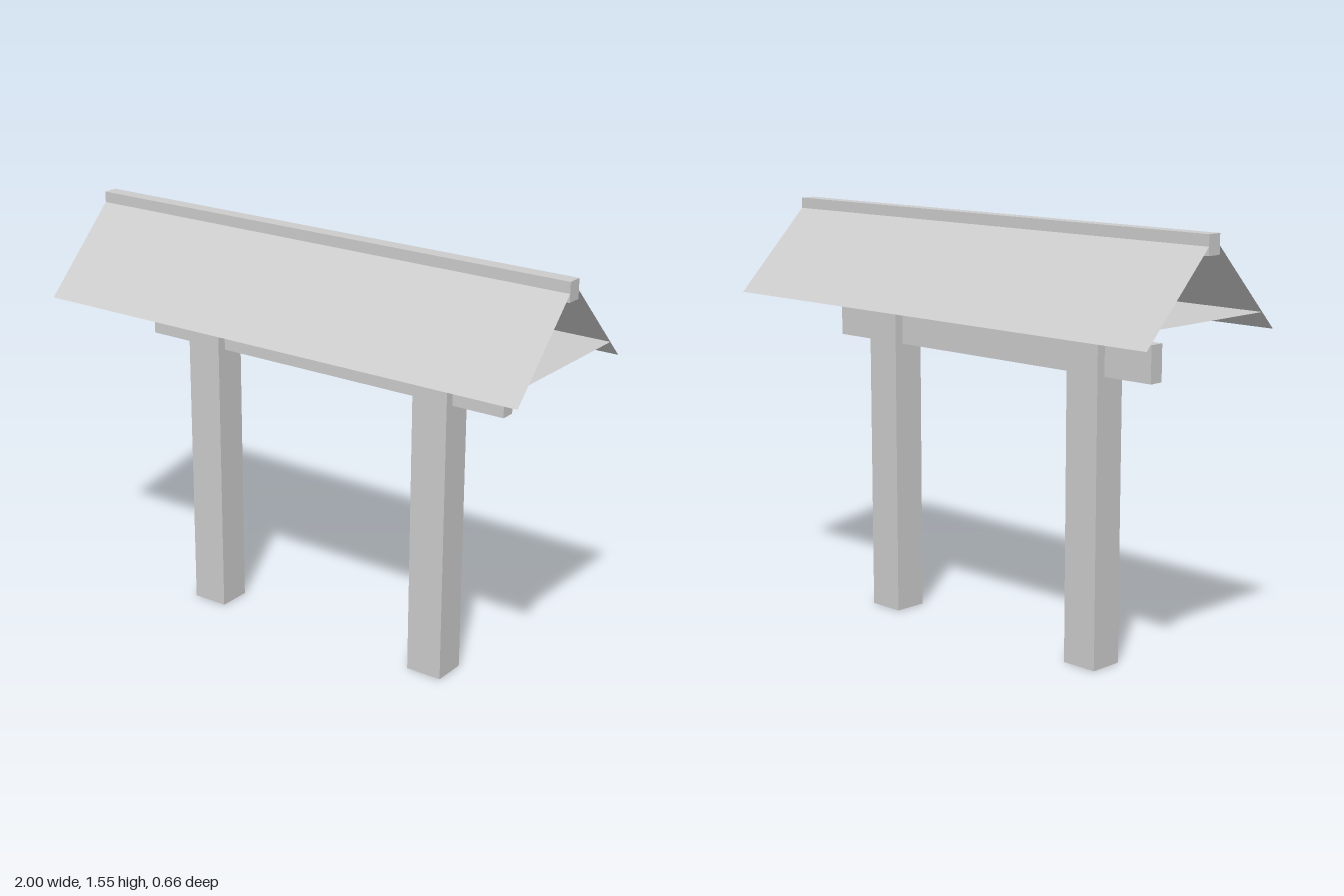
import * as THREE from 'three';

const material = new THREE.MeshStandardMaterial({
  color: 0xcccccc, flatShading: true, side: THREE.DoubleSide,
});

function addMesh(parent, name, geometry, x, y, z) {
  const mesh = new THREE.Mesh(geometry, material);
  mesh.name = name;
  mesh.position.set(x, y, z);
  parent.add(mesh);
  return mesh;
}

export function createModel() {
  const group = new THREE.Group();
  group.name = 'roofedGate';

  const length = 2;
  const apexY = 1.54, eaveY = 1.21, eaveZ = 0.33;
  const ceilingY = 1.273;

  // Square hollow posts, open at both ends, reaching the ceiling
  for (const side of [-1, 1]) {
    const post = new THREE.CylinderGeometry(Math.SQRT1_2, Math.SQRT1_2, 1, 4, 1, true)
      .rotateY(Math.PI / 4)
      .scale(0.14, ceilingY, 0.128);
    addMesh(group, side > 0 ? 'leftPost' : 'rightPost', post, side * 0.5, ceilingY / 2, 0);
  }

  // Tie beam running through both posts
  addMesh(group, 'tieBeam', new THREE.BoxGeometry(1.545, 0.132, 0.056), 0, 1.104, 0);

  // Two thin roof slopes meeting at the ridge
  const rise = apexY - eaveY;
  const slopeLength = Math.hypot(rise, eaveZ);
  const pitch = Math.atan2(rise, eaveZ);
  for (const side of [-1, 1]) {
    const slope = new THREE.PlaneGeometry(length, slopeLength)
      .rotateX(-Math.PI / 2 + pitch);
    if (side < 0) slope.rotateY(Math.PI);
    addMesh(group, side > 0 ? 'frontRoofSlope' : 'backRoofSlope', slope,
      0, (apexY + eaveY) / 2, side * eaveZ / 2);
  }

  // Flat ceiling between the slopes; the gable ends stay open
  const ceilingDepth = 2 * eaveZ * (apexY - ceilingY) / rise;
  addMesh(group, 'ceiling',
    new THREE.PlaneGeometry(length, ceilingDepth).rotateX(Math.PI / 2), 0, ceilingY, 0);

  // Ridge beam
  addMesh(group, 'ridgeBeam', new THREE.BoxGeometry(length, 0.07, 0.056), 0, 1.517, 0);

  return group;
}
